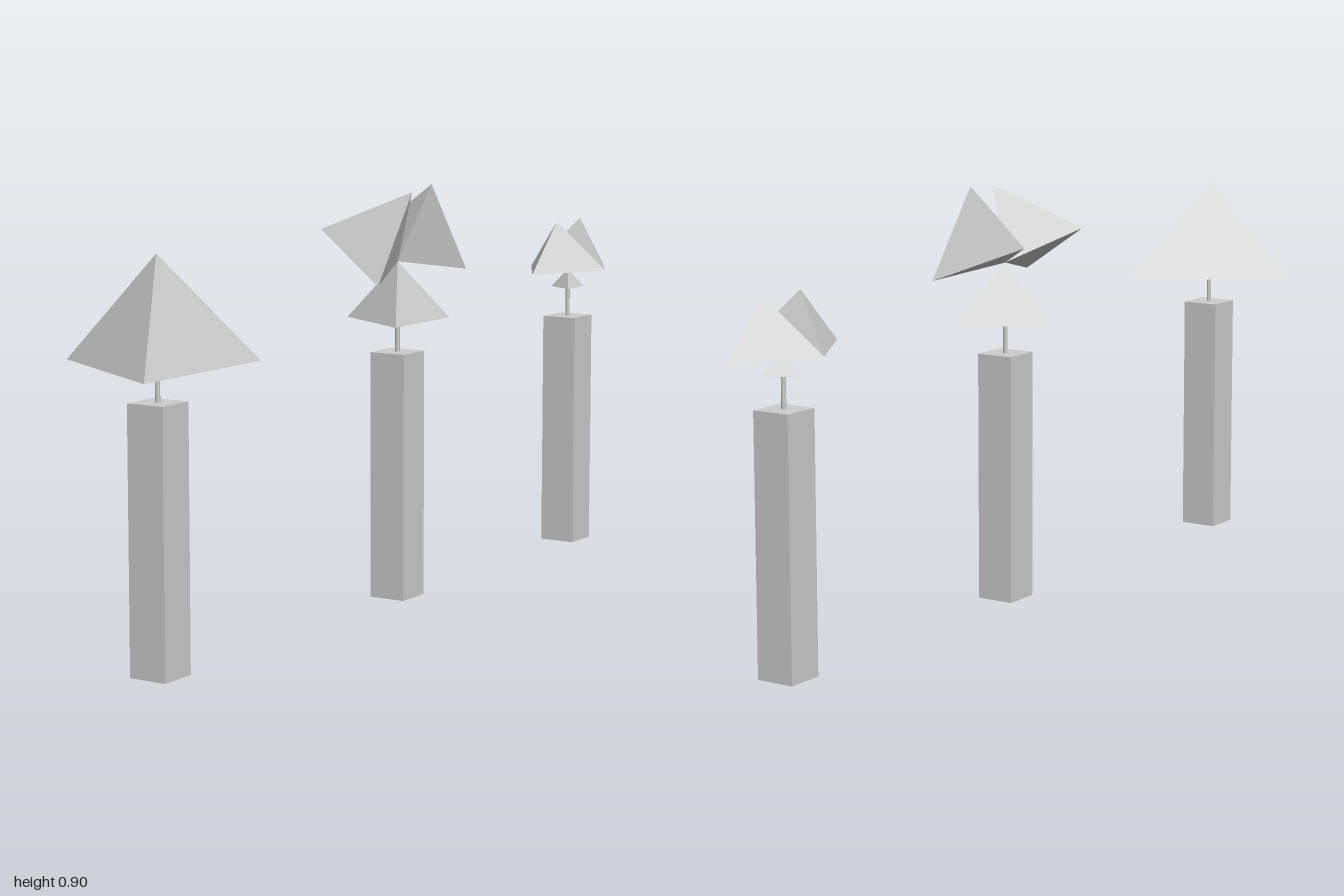
import * as THREE from 'three';

export function createModel() {
  const model = new THREE.Group();
  const stone = new THREE.MeshStandardMaterial({ color: 0xcccccc });
  stone.name = 'light grey';
  const CX = 0.054;      // shared x centre of all three stands
  const REST = 0.605;    // height of the lowest pyramid bases
  const POINT_LEFT = -Math.PI / 2;   // turns the first base corner to -x

  const add = (parent, name, geometry, x, y, z) => {
    const mesh = new THREE.Mesh(geometry, stone);
    mesh.name = name;
    mesh.position.set(x, y, z);
    parent.add(mesh);
    return mesh;
  };

  // Three-sided pyramid hung from its apex, height equal to base radius
  const pyramid = (parent, name, size, y, z, rx, ry) => {
    const g = new THREE.ConeGeometry(size, size, 3).toNonIndexed();
    g.translate(0, -size / 2, 0);
    g.computeVertexNormals();
    add(parent, name, g, 0, y, z).rotation.set(rx, ry, 0);
  };

  // Pedestal with a thin pin
  const stand = (name, z) => {
    const group = new THREE.Group();
    group.name = name;
    group.position.set(CX, 0, z);
    add(group, 'pedestal', new THREE.BoxGeometry(0.084, 0.538, 0.084), 0, 0.269, 0);
    add(group, 'pin', new THREE.CylinderGeometry(0.005, 0.005, 0.075, 12), 0, 0.5705, 0);
    model.add(group);
    return group;
  };

  // Front stand: one large pyramid
  const front = stand('singlePyramidStand', 0.808);
  pyramid(front, 'largePyramid', 0.219, REST + 0.219, 0, 0, POINT_LEFT);

  // Middle stand: three pyramids meeting at their apexes
  const middle = stand('pinwheelStand', -0.061);
  const third = Math.PI * 2 / 3;
  [['lowerPyramid', 0, 0], ['frontUpperPyramid', -third, 0.07], ['rearUpperPyramid', third, 0.1]]
    .forEach(([name, tilt, spin]) => pyramid(middle, name, 0.128, REST + 0.128, 0, tilt, POINT_LEFT + spin));

  // Rear stand: two pyramids edge to edge, balanced on a small one
  const rear = stand('balancedPairStand', -0.826);
  pyramid(rear, 'smallPyramid', 0.044, REST + 0.044, 0, 0, POINT_LEFT);
  pyramid(rear, 'frontPairPyramid', 0.115, 0.765, 0.0575, 0, 0);
  pyramid(rear, 'rearPairPyramid', 0.115, 0.765, -0.0575, 0, Math.PI);

  return model;
}
